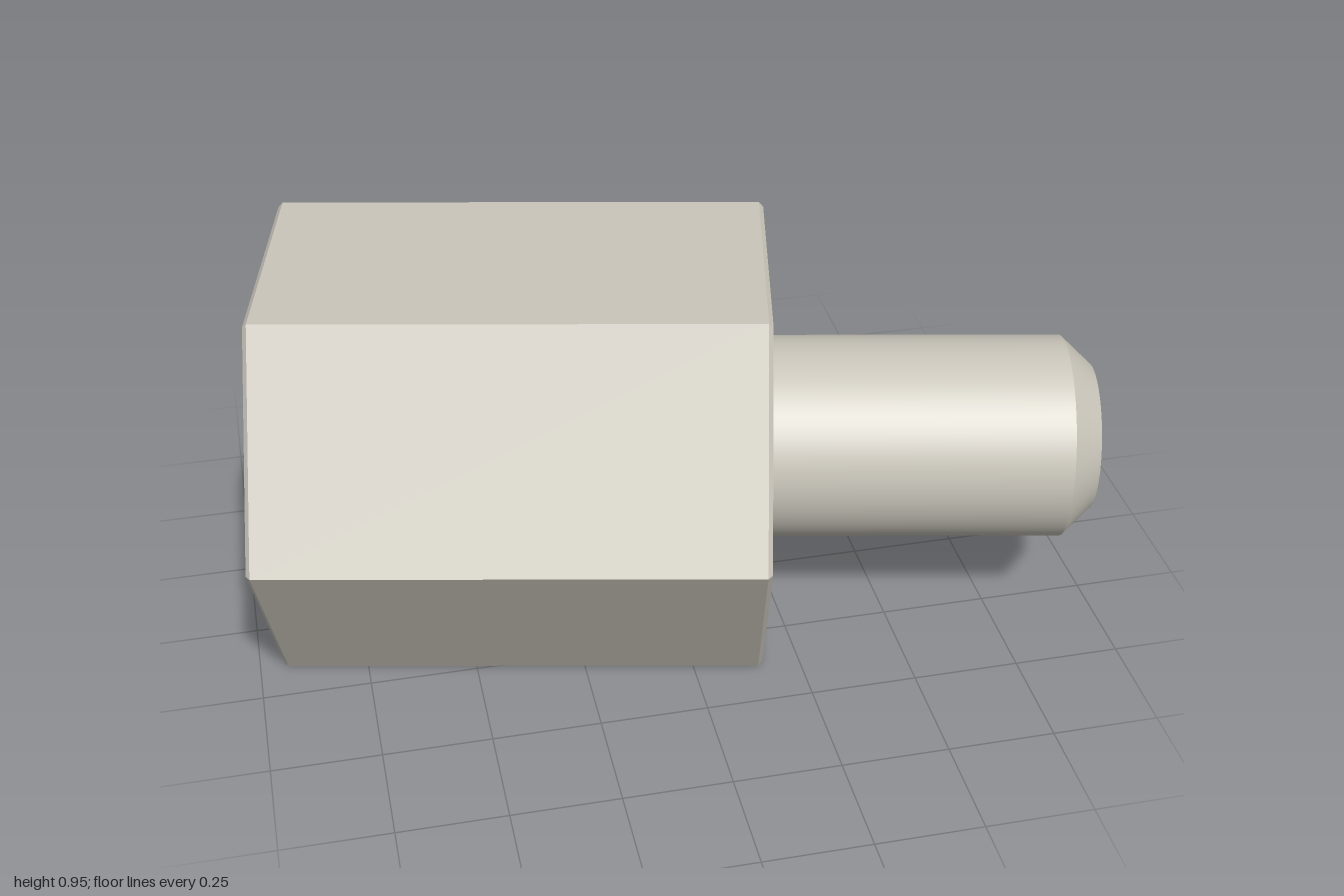
import * as THREE from 'three';
import { mergeGeometries } from 'three/addons/utils/BufferGeometryUtils.js';

const R = 0.5456, LENGTH = 1.13, CHAMFER = 0.0115; // hexagon corner radius, body length, edge break
const APOTHEM = R * Math.cos(Math.PI / 6);

// Revolve a profile of [radius, distance along x]; each band has its own normals, so edges stay crisp
function revolve(profile, segments, flat = false) {
  const bands = [];
  for (let i = 0; i < profile.length - 1; i++) {
    const pts = [profile[i], profile[i + 1]].map(([r, a]) => new THREE.Vector2(r, a));
    let band = new THREE.LatheGeometry(pts, segments);
    if (flat) {
      band = band.toNonIndexed();
      band.computeVertexNormals();
    }
    bands.push(band);
  }
  return mergeGeometries(bands).rotateZ(-Math.PI / 2);
}

export function createModel() {
  const model = new THREE.Group();
  model.name = 'hexStandoff';
  const metal = new THREE.MeshStandardMaterial({ color: 0xcac6bb });
  metal.name = 'warm grey metal';

  // Everything lies along the local x axis, then the whole part is turned
  const part = new THREE.Group();
  part.name = 'standoff';
  part.position.set(-0.888, APOTHEM, -0.121);
  part.rotation.y = THREE.MathUtils.degToRad(-12);
  model.add(part);

  const add = (name, geometry) => {
    const mesh = new THREE.Mesh(geometry, metal);
    mesh.name = name;
    part.add(mesh);
    return mesh;
  };

  // Hexagonal body with small chamfers, closed at the stud end
  add('hexBody', revolve([
    [R - CHAMFER, 0], [R, 0.01], [R, LENGTH - 0.01], [R - CHAMFER, LENGTH], [0, LENGTH],
  ], 6, true));

  // End face with the round opening
  const face = new THREE.Shape();
  for (let i = 0; i < 6; i++) {
    const a = i * Math.PI / 3, r = R - CHAMFER;
    face[i ? 'lineTo' : 'moveTo'](r * Math.cos(a), r * Math.sin(a));
  }
  face.closePath();
  face.holes.push(new THREE.Path().absarc(0, 0, 0.26, 0, Math.PI * 2, true));
  add('socketFace', new THREE.ShapeGeometry(face, 64).rotateY(-Math.PI / 2));

  // Countersunk blind bore, facing inwards
  add('bore', revolve([[0, 0.8], [0.2, 0.8], [0.2, 0.06], [0.26, 0]], 64));

  // Round stud with a chamfered tip
  add('stud', revolve([[0.236, 0], [0.236, 0.692], [0.17, 0.762], [0, 0.762]], 64))
    .position.x = LENGTH;

  return model;
}
